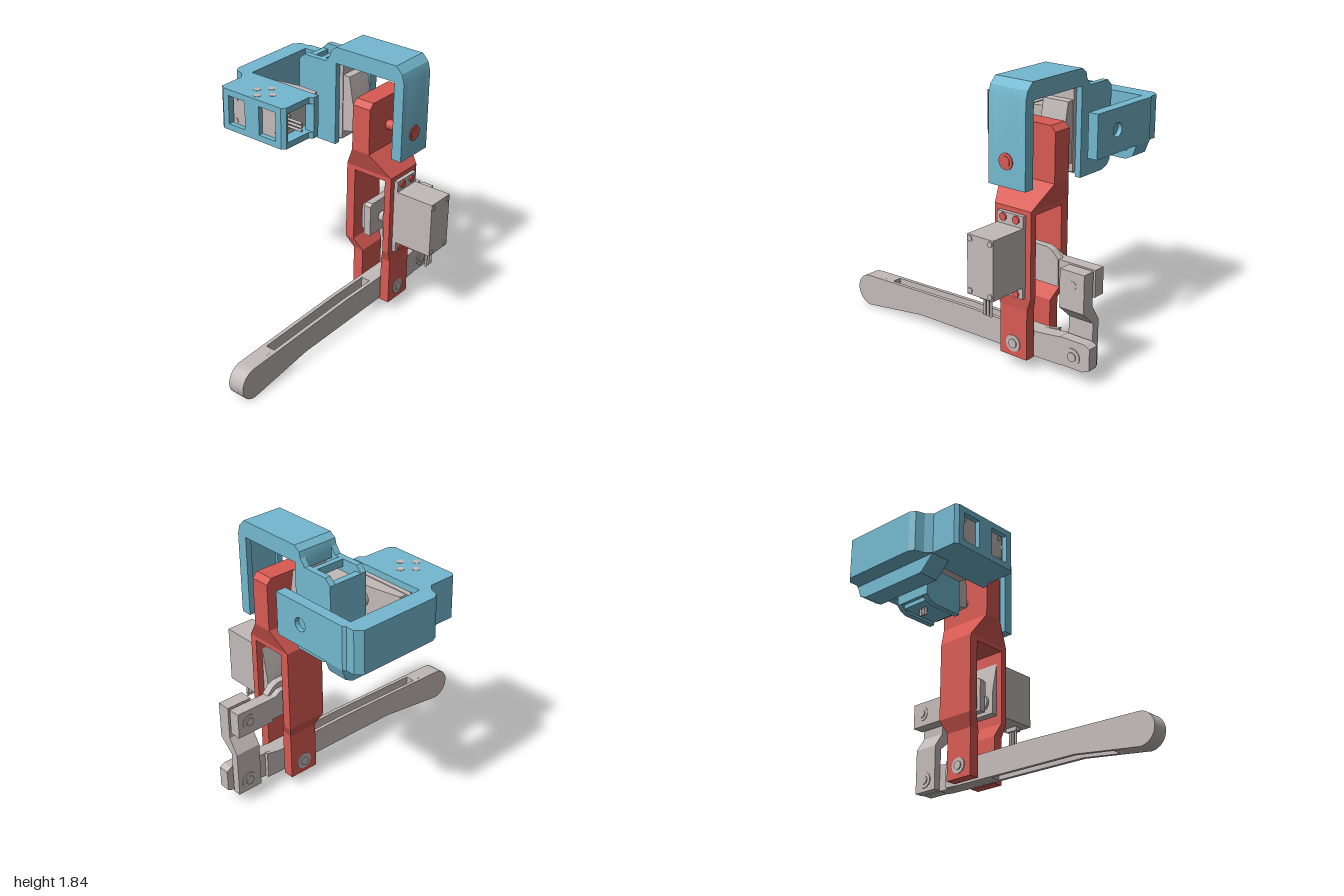
import * as THREE from 'three';
import { toCreasedNormals } from 'three/addons/utils/BufferGeometryUtils.js';

const material = (name, color) => {
  const m = new THREE.MeshStandardMaterial({ color });
  m.name = name;
  return m;
};

export function createModel() {
  const blue = material('blue plastic', 0x73b8cf);
  const red = material('red plastic', 0xd85a52);
  const grey = material('light grey', 0xc2bab8);
  const model = new THREE.Group();
  model.name = 'robotLeg';

  const group = (name, parent = model) => {
    const g = new THREE.Group();
    g.name = name;
    parent.add(g);
    return g;
  };
  const add = (parent, name, geometry, mat) => {
    const mesh = new THREE.Mesh(geometry, mat);
    mesh.name = name;
    parent.add(mesh);
    return mesh;
  };
  // Box from ranges on each axis
  const box = (p, name, mat, [x0, x1], [y0, y1], [z0, z1]) =>
    add(p, name, new THREE.BoxGeometry(x1 - x0, y1 - y0, z1 - z0)
      .translate((x0 + x1) / 2, (y0 + y1) / 2, (z0 + z1) / 2), mat);
  // Prism along an axis; points are (x,y) for z, (z,y) for x, (x,z) for y
  const prism = (p, name, mat, axis, from, to, pts, hole) => {
    const map = ([a, b]) => new THREE.Vector2(axis === 'x' ? -a : a, axis === 'y' ? -b : b);
    const shape = new THREE.Shape(pts.map(map));
    if (hole) shape.holes.push(new THREE.Path(hole.map(map)));
    const g = new THREE.ExtrudeGeometry(shape, { depth: to - from, bevelEnabled: false });
    g.translate(0, 0, from);
    if (axis === 'x') g.rotateY(Math.PI / 2);
    if (axis === 'y') g.rotateX(-Math.PI / 2);
    return add(p, name, toCreasedNormals(g, 0.4), mat);
  };
  // Cylinder along an axis; (a, b) are the other two coordinates in x, y, z order
  const rod = (p, name, mat, axis, from, to, a, b, r, sides = 24) => {
    const g = new THREE.CylinderGeometry(r, r, to - from, sides);
    const mid = (from + to) / 2;
    if (axis === 'x') g.rotateZ(Math.PI / 2).translate(mid, a, b);
    if (axis === 'y') g.translate(a, mid, b);
    if (axis === 'z') g.rotateX(Math.PI / 2).translate(a, b, mid);
    return add(p, name, g, mat);
  };
  // Solid between two rectangles {y, x:[..], z:[..]}
  const frustum = (p, name, mat, lo, hi) => {
    const g = new THREE.BoxGeometry(1, 1, 1).toNonIndexed();
    const v = g.attributes.position;
    for (let i = 0; i < v.count; i++) {
      const e = v.getY(i) > 0 ? hi : lo;
      v.setXYZ(i, e.x[v.getX(i) > 0 ? 1 : 0], e.y, e.z[v.getZ(i) > 0 ? 1 : 0]);
    }
    g.computeVertexNormals();
    return add(p, name, g, mat);
  };

  // Servo: shaft along local +y, long side along local x
  const servo = (name, origin, xAxis, yAxis) => {
    const s = group(name);
    box(s, 'servoBody', grey, [-0.19, 0.19], [-0.27, 0], [-0.1, 0.1]);
    box(s, 'servoFlange', grey, [-0.265, 0.265], [0, 0.028], [-0.1, 0.1]);
    prism(s, 'servoGearbox', grey, 'z', -0.095, 0.095,
      [[-0.19, 0.028], [0.21, 0.028], [0.19, 0.115], [0.03, 0.115], [-0.185, 0.075]]);
    rod(s, 'servoHorn', grey, 'y', 0.115, 0.135, 0.1, 0, 0.06);
    rod(s, 'servoShaft', grey, 'y', 0.135, 0.195, 0.1, 0, 0.035);
    box(s, 'servoPlug', grey, [0.19, 0.22], [-0.225, -0.18], [-0.045, 0.045]);
    for (const k of [-1, 0, 1]) {
      rod(s, 'servoWire', grey, 'x', 0.2, 0.33, -0.2, k * 0.025, 0.009, 8);
    }
    for (const i of [-1, 1]) for (const j of [-1, 1]) {
      rod(s, 'servoScrew', grey, 'y', -0.276, -0.27, i * 0.165, j * 0.078, 0.018, 12);
    }
    const X = new THREE.Vector3(...xAxis), Y = new THREE.Vector3(...yAxis);
    const m = new THREE.Matrix4().makeBasis(X, Y, X.clone().cross(Y)).setPosition(...origin);
    s.applyMatrix4(m);
  };
  servo('kneeServo', [0.445, 0.765, -0.48], [0, -1, 0], [-1, 0, 0]);
  servo('hipServo', [-0.05, 1.46, -0.485], [0, -1, 0], [1, 0, 0]);
  servo('shoulderServo', [-0.33, 1.445, -0.15], [1, 0, 0], [0, 0, -1]);

  // Lower leg: slotted bar built as two rails with filled ends
  const foot = group('lowerLeg');
  const tip = [];
  for (let i = 0; i <= 16; i++) {
    const a = -Math.PI / 2 + (i / 16) * Math.PI;
    tip.push([0.89 + 0.11 * Math.cos(a), 0.112 + 0.11 * Math.sin(a)]);
  }
  const bar = [[-0.78, 0.085], [-0.6, 0.08], [0.4, 0.068], ...tip, [0, 0.25], [-0.6, 0.25], [-0.78, 0.272]];
  prism(foot, 'leftRail', grey, 'x', 0.3, 0.325, bar);
  prism(foot, 'rightRail', grey, 'x', 0.21, 0.235, bar.map(([z, y]) => [Math.max(z, -0.7), y]));
  prism(foot, 'toeFill', grey, 'x', 0.235, 0.3, [[0.68, 0.03], ...tip, [0.68, 0.229]]);
  prism(foot, 'kneeFill', grey, 'x', 0.235, 0.3,
    [[-0.78, 0.085], [-0.6, 0.08], [-0.3, 0.077], [-0.3, 0.25], [-0.6, 0.25], [-0.78, 0.272]]);
  prism(foot, 'heelTab', grey, 'x', 0.25, 0.325,
    [[-0.78, 0.09], [-0.95, 0.09], [-1, 0.112], [-1, 0.255], [-0.965, 0.275], [-0.78, 0.275]]);

  // Axles with rings and bolt ends on both sides
  const axle = (name, x0, x1, y, z, r) => {
    const g = group(name);
    rod(g, 'axleRing', grey, 'x', x0, x1, y, z, r);
    rod(g, 'axleBolt', grey, 'x', x0 - 0.007, x1 + 0.007, y, z, r * 0.55);
  };
  axle('kneeAxle', 0.099, 0.413, 0.167, -0.48, 0.055);
  axle('heelAxle', 0.179, 0.331, 0.17, -0.875, 0.055);
  axle('crankAxle', 0.144, 0.335, 0.64, -0.875, 0.05);

  // Crank and connecting link
  const linkage = group('linkage');
  prism(linkage, 'crank', grey, 'x', 0.19, 0.24,
    [[-0.37, 0.55], [-0.37, 0.77], [-0.39, 0.79], [-0.6, 0.79], [-0.64, 0.775], [-0.69, 0.725],
      [-0.69, 0.55]]);
  prism(linkage, 'crankPad', grey, 'x', 0.148, 0.19,
    [[-0.4, 0.57], [-0.4, 0.75], [-0.62, 0.75], [-0.66, 0.725], [-0.69, 0.725], [-0.69, 0.57]]);
  box(linkage, 'crankEnd', grey, [0.148, 0.23], [0.55, 0.725], [-0.96, -0.69]);
  prism(linkage, 'link', grey, 'z', -0.96, -0.78,
    [[0.25, 0.725], [0.34, 0.725], [0.34, 0.475], [0.24, 0.385], [0.24, 0.09], [0.185, 0.09],
      [0.185, 0.4], [0.25, 0.5]]);

  // Red thigh frame
  const thigh = group('thigh');
  const arm = (name, upper, lower) => {
    box(thigh, name + 'Upper', red, upper, [0.5, 1.06], [-0.62, -0.34]);
    frustum(thigh, name + 'Taper', red, { y: 0.41, x: lower, z: [-0.585, -0.375] },
      { y: 0.5, x: upper, z: [-0.62, -0.34] });
    box(thigh, name + 'Lower', red, lower, [0.08, 0.41], [-0.585, -0.375]);
  };
  arm('rightArm', [0.06, 0.125], [0.105, 0.18]);
  arm('leftArm', [0.37, 0.418], [0.337, 0.407]);
  box(thigh, 'crossbar', red, [0.125, 0.37], [1.03, 1.06], [-0.62, -0.34]);
  frustum(thigh, 'thighFlare', red, { y: 1.06, x: [0.06, 0.418], z: [-0.62, -0.34] },
    { y: 1.215, x: [0.147, 0.282], z: [-0.685, -0.275] });
  prism(thigh, 'hipBlock', red, 'x', 0.147, 0.282,
    [[-0.685, 1.215], [-0.275, 1.215], [-0.275, 1.53], [-0.31, 1.565], [-0.65, 1.565], [-0.685, 1.53]]);
  rod(thigh, 'hipPin', red, 'x', 0.282, 0.492, 1.36, -0.48, 0.033);
  rod(thigh, 'hipPinHead', red, 'x', 0.48, 0.488, 1.36, -0.48, 0.052);
  for (const y of [0.525, 1.0]) for (const z of [-0.53, -0.43]) {
    rod(thigh, 'flangeScrew', red, 'x', 0.44, 0.456, y, z, 0.025, 16);
  }

  // Blue hip yoke: front and back plates with fillers between them
  const yoke = group('hipYoke');
  const yokeOutline = [[-0.355, 1.69], [-0.315, 1.73], [-0.135, 1.73], [-0.1, 1.775], [-0.09, 1.815],
    [-0.05, 1.845], [0.42, 1.845], [0.465, 1.8], [0.482, 1.74], [0.482, 1.2], [0.41, 1.2],
    [0.41, 1.735], [-0.05, 1.735], [-0.05, 1.16], [-0.28, 1.16], [-0.33, 1.18], [-0.355, 1.21]];
  prism(yoke, 'yokeFrontPlate', blue, 'z', -0.385, -0.345, yokeOutline);
  prism(yoke, 'yokeBackPlate', blue, 'z', -0.625, -0.585, yokeOutline);
  prism(yoke, 'yokeBridge', blue, 'z', -0.585, -0.385,
    [[-0.1, 1.7], [-0.1, 1.775], [-0.09, 1.815], [-0.05, 1.845], [0.42, 1.845], [0.465, 1.8],
      [0.482, 1.74], [0.482, 1.2], [0.43, 1.2], [0.43, 1.785], [-0.05, 1.785], [-0.05, 1.7]]);
  const inner = [-0.585, -0.385];
  box(yoke, 'holderEndWall', blue, [-0.355, -0.31], [1.21, 1.69], inner);
  box(yoke, 'holderTopRib', blue, [-0.2, -0.165], [1.68, 1.73], inner);
  box(yoke, 'holderFloor', blue, [-0.33, -0.05], [1.18, 1.22], inner);
  rod(yoke, 'rollPivot', blue, 'z', -0.7, -0.625, -0.24, 1.45, 0.032);
  rod(yoke, 'rollPivotCollar', blue, 'z', -0.65, -0.625, -0.24, 1.45, 0.05);

  // Blue shoulder bracket: servo case, side wall and back arm
  const shoulder = group('shoulderBracket');
  const caseOutline = [[-0.6, -0.145], [-0.6, 0.135], [-0.575, 0.155], [-0.085, 0.155], [-0.06, 0.13],
    [-0.055, -0.08], [-0.03, -0.1], [-0.03, -0.145]];
  prism(shoulder, 'caseTop', blue, 'y', 1.545, 1.588, caseOutline);
  prism(shoulder, 'caseBottom', blue, 'y', 1.302, 1.345, caseOutline);
  const sideY = [1.345, 1.545];
  prism(shoulder, 'caseLeftPost', blue, 'y', ...sideY,
    [[-0.085, 0.155], [-0.06, 0.13], [-0.06, 0.115], [-0.13, 0.115], [-0.13, 0.155]]);
  prism(shoulder, 'caseRightWall', blue, 'y', ...sideY,
    [[-0.6, -0.145], [-0.6, 0.135], [-0.575, 0.155], [-0.53, 0.155], [-0.53, -0.145]]);
  box(shoulder, 'caseStrap', blue, [-0.39, -0.27], sideY, [0.115, 0.155]);
  box(shoulder, 'caseRearPost', blue, [-0.1, -0.03], sideY, [-0.145, -0.1]);
  for (const [x, z] of [[-0.39, 0.035], [-0.255, 0.035], [-0.325, -0.035], [-0.325, 0.105]]) {
    rod(shoulder, 'caseHole', grey, 'y', 1.585, 1.59, x, z, 0.025, 16);
  }
  prism(shoulder, 'sideWall', blue, 'y', 1.302, 1.588,
    [[-0.6, -0.05], [-0.64, -0.09], [-0.7, -0.11], [-0.72, -0.15], [-0.72, -0.7], [-0.68, -0.745],
      [-0.62, -0.745], [-0.6, -0.76], [-0.55, -0.76], [-0.55, -0.69], [-0.595, -0.69], [-0.595, -0.05]]);
  const pivotHole = [];
  for (let i = 0; i < 24; i++) {
    const a = (i / 24) * Math.PI * 2;
    pivotHole.push([-0.24 + 0.045 * Math.cos(a), 1.45 + 0.045 * Math.sin(a)]);
  }
  prism(shoulder, 'backArm', blue, 'z', -0.76, -0.69,
    [[-0.55, 1.302], [-0.033, 1.302], [-0.033, 1.588], [-0.55, 1.588]], pivotHole);
  rod(shoulder, 'pivotBush', blue, 'z', -0.73, -0.69, -0.24, 1.45, 0.046);

  // Strut under the bracket, joined to the side wall by a web
  const under = [[-0.05, 1.305], [-0.14, 1.215], [-0.16, 1.2], [-0.68, 1.2], [-0.73, 1.225], [-0.76, 1.305]];
  prism(shoulder, 'strutWeb', blue, 'x', -0.598, -0.57, under);
  prism(shoulder, 'strut', blue, 'x', -0.57, -0.455,
    [...under, [-0.69, 1.305], [-0.69, 1.255], [-0.16, 1.255], [-0.11, 1.305]]);
  return model;
}
